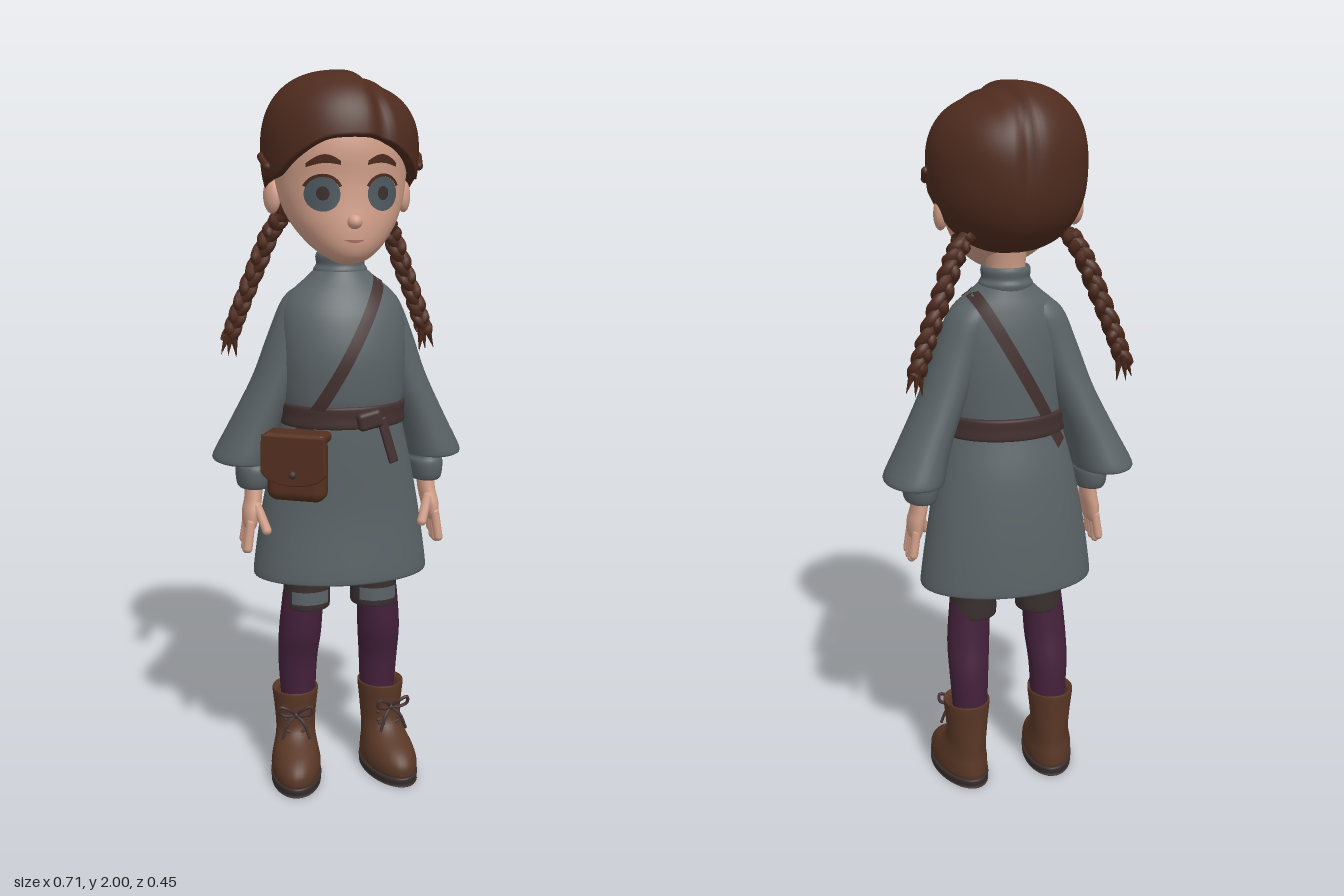
import * as THREE from 'three';
import { RoundedBoxGeometry } from 'three/addons/geometries/RoundedBoxGeometry.js';

const mat = (name, color, side = THREE.DoubleSide) => {
  const m = new THREE.MeshStandardMaterial({ color, side });
  m.name = name;
  return m;
};
const V = (x, y, z) => new THREE.Vector3(x, y, z);

// Grid surface from a rule fn(u, v) -> [x, y, z]; u may wrap round
function grid(fn, nu, nv, wrap = false) {
  const pos = [], idx = [], cols = wrap ? nu : nu + 1;
  for (let j = 0; j <= nv; j++) for (let i = 0; i < cols; i++) pos.push(...fn(i / nu, j / nv));
  for (let j = 0; j < nv; j++) for (let i = 0; i < nu; i++) {
    const a = j * cols + i, b = j * cols + (i + 1) % cols;
    idx.push(a, b, b + cols, a, b + cols, a + cols);
  }
  const g = new THREE.BufferGeometry();
  g.setAttribute('position', new THREE.Float32BufferAttribute(pos, 3));
  g.setIndex(idx);
  g.computeVertexNormals();
  return g;
}

// Smooth interpolation between cross-sections [y, cx, cz, rx, rz]
function sample(rings, t) {
  const n = rings.length - 1, i = Math.min(Math.floor(t), n - 1), f = t - i;
  const [a, b, c, d] = [i - 1, i, i + 1, i + 2].map(k => rings[Math.max(0, Math.min(n, k))]);
  return b.map((p, k) => {
    const m0 = (c[k] - a[k]) / 2, m1 = (d[k] - p) / 2, e = c[k] - p;
    return p + f * (m0 + f * (3 * e - 2 * m0 - m1 + f * (m0 + m1 - 2 * e)));
  });
}
function loft(rings, nu = 32, a0 = 0, a1 = Math.PI * 2) {
  const n = rings.length - 1;
  return grid((u, v) => {
    const [y, cx, cz, rx, rz] = sample(rings, v * n), a = a0 + (a1 - a0) * u;
    return [cx + Math.max(rx, 0.001) * Math.sin(a), y, cz + Math.max(rz, 0.001) * Math.cos(a)];
  }, nu, n * 4, a1 - a0 > 6.28);
}
// Depth of a lofted surface at (x, y), front or back
function surfaceZ(rings, x, y, side = 1) {
  let lo = 0, hi = rings.length - 1;
  for (let k = 0; k < 24; k++) {
    const m = (lo + hi) / 2;
    if (sample(rings, m)[0] < y) lo = m; else hi = m;
  }
  const [, cx, cz, rx, rz] = sample(rings, lo);
  return cz + side * rz * Math.sqrt(Math.max(0, 1 - ((x - cx) / rx) ** 2));
}
const mirrored = (rings, s) => rings.map(([y, cx, ...r]) => [y, cx * s, ...r]);
const tube = (pts, r, n = 24) => new THREE.TubeGeometry(new THREE.CatmullRomCurve3(pts), n, r, 8);
const lerp = THREE.MathUtils.lerp;

const HEAD = [[1.495, 0, .1, .01, .01], [1.51, 0, .105, .05, .05], [1.545, 0, .075, .097, .1],
  [1.6, 0, .04, .14, .138], [1.66, 0, .012, .166, .16], [1.72, 0, -.003, .178, .173],
  [1.8, 0, -.005, .182, .18], [1.88, 0, -.008, .165, .16], [1.95, 0, 0, .08, .08], [1.96, 0, 0, .001, .001]];
const TUNIC = [[.62, 0, 0, .244, .16], [.64, 0, 0, .248, .165], [.8, 0, 0, .225, .155], [.95, 0, .01, .195, .147],
  [1.05, 0, .022, .17, .135], [1.09, 0, .025, .163, .13], [1.14, 0, .03, .17, .136], [1.25, 0, .032, .175, .138],
  [1.35, 0, .025, .17, .122], [1.41, 0, .015, .145, .1], [1.45, 0, .008, .1, .08], [1.48, 0, .004, .066, .066]];

// Two-lobed hair shell, cut along a hairline that varies round the head
function hairShell() {
  const line = [1.835, 1.825, 1.775, 1.72, 1.71, 1.61, 1.575, 1.57, 1.575].map(y => [y]);
  return grid((u, v) => {
    const phi = u * Math.PI * 2, around = Math.min(phi, Math.PI * 2 - phi);
    const low = Math.asin((sample(line, around / Math.PI * 8)[0] - 1.79) / 0.23);
    const el = lerp(low, Math.PI / 2, Math.max(0, (v * 40 - 1) / 39));
    const c = Math.cos(el), s = Math.sin(el);
    let r = (Math.abs(c) ** 2.4 + Math.abs(s) ** 2.4) ** (-1 / 2.4);
    if (v === 0) r *= 0.88;
    const x = .213 * c * r * Math.sin(phi), z = -.008 + .215 * c * r * Math.cos(phi);
    const d = x - (.042 + .19 * z);
    const k = 1 - .07 * Math.exp(-((d / .022) ** 2)) * THREE.MathUtils.smoothstep(el, -1, .3);
    const drop = el > 0 ? .03 * s * THREE.MathUtils.smoothstep(d, -.01, .06) : 0;
    return [x * k, 1.79 + (s > 0 ? .21 : .23) * s * r * k - drop, z * k];
  }, 96, 40, true);
}

export function createModel() {
  const M = {
    skin: mat('skin', 0xd3a08a), hair: mat('hair brown', 0x4e2b1e), wool: mat('grey wool', 0x5b6366),
    strap: mat('dark leather', 0x433130), bag: mat('bag leather', 0x54301f), tights: mat('plum tights', 0x44213b),
    dark: mat('dark brown cloth', 0x3a2f2f), boot: mat('boot leather', 0x593726),
    iris: mat('eye grey', 0x4e595f), lip: mat('lip', 0xa96f62),
  };
  const root = new THREE.Group();
  root.name = 'girl';
  const add = (name, geo, m, p, parent = root) => {
    const o = new THREE.Mesh(geo, m);
    o.name = name;
    if (p) o.position.set(...p);
    parent.add(o);
    return o;
  };
  const rod = (name, a, b, r, m, parent) => {
    const d = b.clone().sub(a);
    const o = add(name, new THREE.CapsuleGeometry(r, d.length(), 4, 10), m, a.clone().lerp(b, .5).toArray(), parent);
    o.quaternion.setFromUnitVectors(V(0, 1, 0), d.normalize());
    return o;
  };

  // Head and face
  add('head', loft(HEAD, 48), M.skin);
  add('neck', loft([[1.44, 0, 0, .055, .055], [1.51, 0, 0, .052, .053], [1.6, 0, -.01, .058, .06]]), M.skin);
  add('nose', new THREE.SphereGeometry(.022, 16, 12), M.skin, [0, 1.612, .179]).scale.set(.9, .85, 1);
  const faceGrid = (name, m, lift, nu, nv, fn) => add(name, grid((u, v) => {
    const [x, y] = fn(u, v);
    return [x, y, surfaceZ(HEAD, x, y) + lift];
  }, nu, nv), m);
  const disc = (name, m, cx, cy, rx, ry, lift) => faceGrid(name, m, lift, 28, 4, (u, v) =>
    [cx + rx * v * Math.sin(u * Math.PI * 2), cy + ry * v * Math.cos(u * Math.PI * 2)]);
  faceGrid('mouth', M.lip, .004, 12, 2, (u, v) =>
    [(u - .5) * .055, 1.562 + .004 * (2 * u - 1) ** 2 + (v - .5) * .009 * Math.sin(Math.PI * u)]);
  for (const s of [-1, 1]) {
    disc('eye', M.iris, s * .08, 1.682, .044, .044, .004);
    disc('pupil', M.dark, s * .08, 1.684, .016, .018, .007);
    faceGrid('upperLash', M.hair, .008, 16, 2, (u, v) => {
      const a = (u - .5) * 2.3;
      return [s * .08 + Math.sin(a) * (.044 + .008 * v), 1.682 + Math.cos(a) * (.044 + .008 * v)];
    });
    faceGrid('eyebrow', M.hair, .006, 12, 2, (u, v) => [s * .078 + (u - .5) * .085,
      1.758 + .014 * Math.sin(Math.PI * u) + .006 * (u - .5) * -s + (v - .5) * .022 * Math.sin(Math.PI * (.15 + .7 * u))]);
    const ear = add('ear', new THREE.SphereGeometry(1, 18, 14), M.skin, [s * .182, 1.672, -.025]);
    ear.scale.set(.02, .048, .032);
    ear.rotation.set(-.15, s * -.4, 0);
  }

  // Hair with two plaited braids
  add('hair', hairShell(), M.hair);
  for (const s of [-1, 1]) {
    const braid = new THREE.Group();
    braid.name = s > 0 ? 'leftBraid' : 'rightBraid';
    root.add(braid);
    const path = new THREE.CatmullRomCurve3([V(s * .14, 1.62, -.1), V(s * .175, 1.56, -.12),
      V(s * .215, 1.46, -.135), V(s * .255, 1.36, -.145), V(s * .285, 1.275, -.152)]);
    for (let k = 0; k < 3; k++) {
      const pts = [];
      for (let i = 0; i <= 48; i++) {
        const t = i / 48, w = t * 20 + k * Math.PI * 2 / 3, q = 1 - .3 * t;
        pts.push(path.getPoint(t).add(V(.019 * q * Math.cos(w), .006 * Math.cos(w) * -s, .012 * q * Math.sin(2 * w))));
      }
      add('strand', tube(pts, .0155, 96), M.hair, null, braid);
      const tip = add('braidTip', new THREE.ConeGeometry(.014, .075, 8), M.hair,
        [s * (.272 + k * .014), 1.252 + k * .004, -.148 - (k % 2) * .012], braid);
      tip.rotation.z = Math.PI + s * (-.1 + k * .22);
    }
    rod('sideLock', V(s * .205, 1.75, .05), V(s * .214, 1.775, .005), .012, M.hair);
  }

  // Tunic with rolled collar and wide sleeves
  add('tunic', loft(TUNIC, 48), M.wool);
  add('collar', loft([[1.455, 0, .002, .07, .068], [1.475, 0, .002, .074, .072], [1.49, 0, .002, .066, .066],
    [1.51, 0, .002, .068, .068], [1.522, 0, .002, .062, .062], [1.51, 0, .002, .052, .052]]), M.wool);
  for (const s of [-1, 1]) {
    add('wideSleeve', loft(mirrored([[.95, .27, -.035, .08, .112], [.965, .27, -.035, .083, .116], [1.05, .237, -.025, .072, .102],
      [1.18, .18, -.01, .065, .088], [1.3, .135, 0, .066, .08], [1.4, .095, 0, .062, .07], [1.44, .08, 0, .02, .03]], s)), M.wool);
    add('cuff', loft(mirrored([[.89, .247, 0, .03, .05], [.88, .247, 0, .042, .062], [.9, .247, 0, .048, .071],
      [.935, .245, 0, .05, .073], [.965, .243, 0, .042, .06], [1.12, .2, 0, .042, .055]], s)), M.wool);
    // Hand with four fingers and a thumb
    const hand = new THREE.Group();
    hand.name = s > 0 ? 'leftHand' : 'rightHand';
    root.add(hand);
    add('palm', loft(mirrored([[.755, .262, .018, .004, .015], [.77, .262, .018, .018, .042], [.81, .258, .016, .024, .047],
      [.85, .25, .01, .024, .04], [.91, .246, .004, .026, .032]], s), 20), M.skin, null, hand);
    for (let i = 0; i < 4; i++) {
      const z = -.018 + i * .024, y = .705 + (i === 0 ? .016 : i === 3 ? .008 : 0);
      rod('finger', V(s * .264, .785, z), V(s * .274, y, z * 1.1), .0125, M.skin, hand);
    }
    rod('thumb', V(s * .245, .83, .045), V(s * .222, .765, .068), .0135, M.skin, hand);
  }

  // Belt with knot and hanging tail
  add('belt', loft([[1.06, 0, .025, .163, .13], [1.062, 0, .025, .175, .142], [1.09, 0, .025, .174, .142],
    [1.118, 0, .025, .175, .143], [1.12, 0, .025, .16, .13]], 48), M.strap);
  const knot = add('beltKnot', new RoundedBoxGeometry(.07, .05, .03, 3, .012), M.strap, [.045, 1.085, .165]);
  knot.rotation.set(0, .15, .2);
  const tail = add('beltTail', new RoundedBoxGeometry(.028, .13, .012, 2, .005), M.strap, [.098, 1.025, .155]);
  tail.rotation.set(-.1, .3, .3);

  // Shoulder strap hugging the torso, front and back
  for (const side of [1, -1]) add(side > 0 ? 'frontStrap' : 'backStrap', grid((u, v) => {
    const w = (u - .5) * .034, x = lerp(-.14, .098, v) - w * .86, y = lerp(1.03, 1.452, v) + w * .5;
    return [x, y, surfaceZ(TUNIC, x, y, side) + side * .009];
  }, 4, 40), M.strap);

  // Shoulder bag with flap and button
  const bag = new THREE.Group();
  bag.name = 'shoulderBag';
  bag.position.set(-.15, .965, .152);
  bag.rotation.y = -.5;
  root.add(bag);
  add('bagBody', new RoundedBoxGeometry(.165, .18, .07, 5, .03), M.bag, [0, -.005, 0], bag);
  const f = new THREE.Shape().moveTo(-.085, .085).lineTo(-.088, -.01).quadraticCurveTo(-.075, -.04, 0, -.045)
    .quadraticCurveTo(.075, -.04, .088, -.01).lineTo(.085, .085);
  add('bagFlap', new THREE.ExtrudeGeometry(f, { depth: .006, bevelSize: .004, bevelThickness: .004, bevelSegments: 3 }),
    M.bag, [0, 0, .033], bag);
  add('bagTop', new RoundedBoxGeometry(.174, .03, .08, 4, .014), M.bag, [0, .08, 0], bag);
  add('bagButton', new THREE.SphereGeometry(.011, 12, 8), M.strap, [0, -.015, .044], bag);

  // Legs: shorts, tights, laced boots
  for (const s of [-1, 1]) {
    add('shorts', loft(mirrored([[.55, .098, 0, .055, .057], [.522, .098, 0, .06, .062], [.525, .098, 0, .067, .068],
      [.6, .097, 0, .068, .069], [.74, .09, 0, .085, .08], [.76, .09, 0, .001, .001]], s)), M.dark);
    add('kneePatch', loft([[.538, s * .098, 0, .072, .073], [.575, s * .098, 0, .072, .073]], 16, -.8, .8), M.wool);
    add('tights', loft(mirrored([[.2, .118, -.035, .048, .055], [.34, .12, -.03, .056, .059],
      [.44, .116, -.01, .061, .062], [.56, .108, 0, .058, .059]], s)), M.tights);

    const boot = new THREE.Group();
    boot.name = s > 0 ? 'leftBoot' : 'rightBoot';
    boot.position.set(s * .128, 0, -.03);
    boot.rotation.y = s * .16;
    root.add(boot);
    add('bootLeather', loft([[.018, 0, .06, .06, .125], [.03, 0, .061, .07, .134], [.06, 0, .06, .071, .131],
      [.09, 0, .047, .065, .114], [.12, 0, .018, .058, .085], [.15, 0, .003, .057, .07], [.2, 0, 0, .061, .068],
      [.245, 0, 0, .066, .071], [.26, 0, 0, .065, .07], [.25, 0, 0, .052, .058]]), M.boot, null, boot);
    add('sole', loft([[0, 0, .06, .001, .001], [0, 0, .06, .066, .13], [.004, 0, .06, .07, .134],
      [.024, 0, .06, .073, .137], [.026, 0, .06, .06, .12]]), M.dark, null, boot);
    for (let i = 0; i < 3; i++) for (const k of [-1, 1]) {
      const y = .125 + i * .03, z = .095 - i * .012;
      rod('lace', V(-k * .032, y, z - .022), V(k * .03, y + .024, z - .026), .0045, M.strap, boot);
    }
    for (const k of [-1, 1]) {
      add('laceLoop', tube([V(0, .2, .078), V(k * .02, .222, .095), V(k * .044, .232, .098),
        V(k * .046, .212, .094), V(k * .02, .2, .088), V(0, .2, .078)], .0048), M.strap, null, boot);
      add('laceEnd', tube([V(0, .2, .08), V(k * .022, .18, .094), V(k * .04, .135, .1)], .0045, 12), M.strap, null, boot);
    }
    add('laceKnot', new THREE.SphereGeometry(.01, 10, 8), M.strap, [0, .2, .08], boot);
  }
  return root;
}
